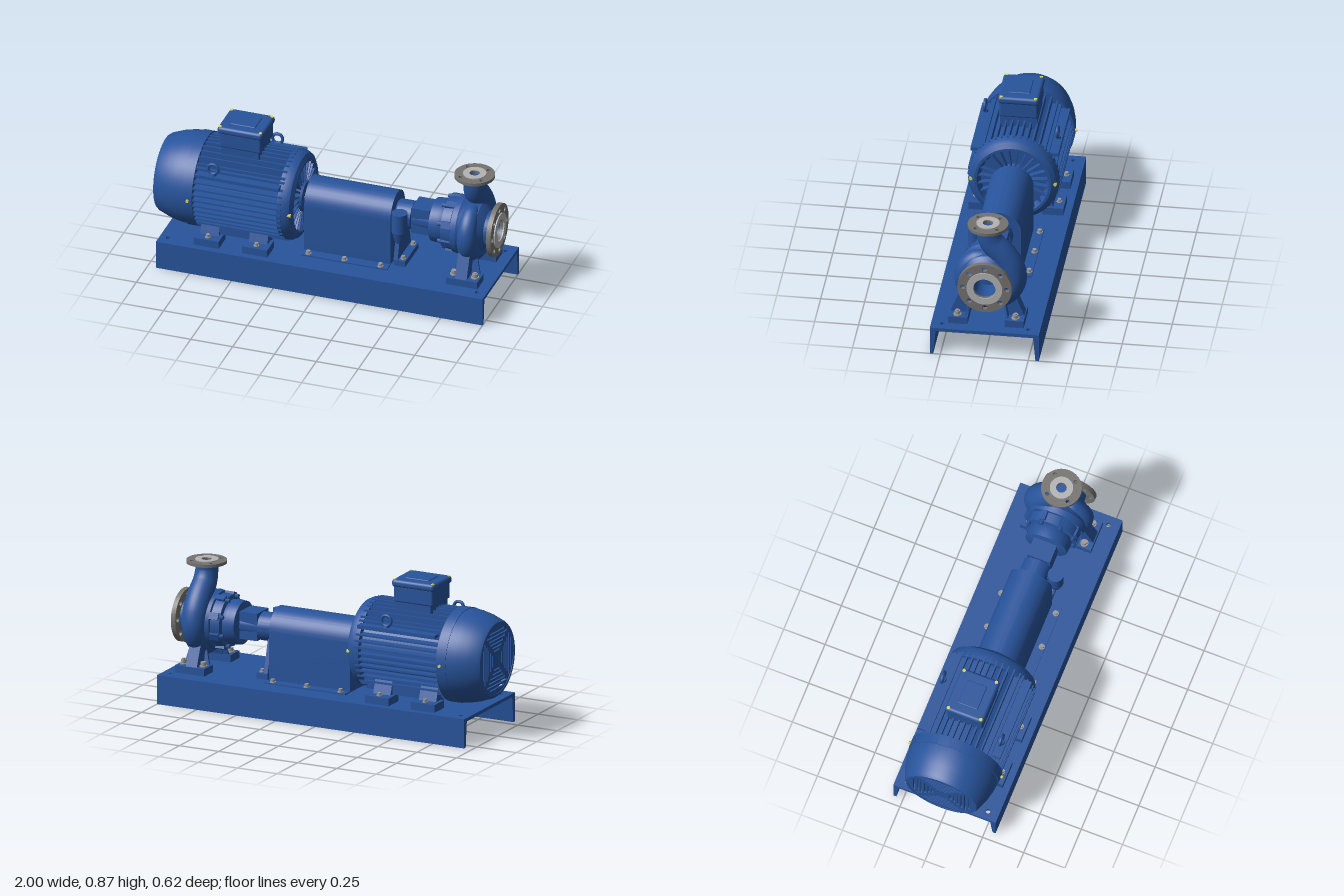
import * as THREE from 'three';
import { toCreasedNormals } from 'three/addons/utils/BufferGeometryUtils.js';
import { RoundedBoxGeometry } from 'three/addons/geometries/RoundedBoxGeometry.js';

const paint = (color) => new THREE.MeshStandardMaterial({ color });
const blue = paint(0x28549c), steel = paint(0x9a9a9a), iron = paint(0x747370), face = paint(0xb4b4b4), yellow = paint(0xe0d850);
const AXIS = 0.45; // height of the shaft line

function add(parent, name, geo, mat = blue, x = 0, y = 0, z = 0) {
  const m = new THREE.Mesh(geo, mat);
  m.name = name;
  m.position.set(x, y, z);
  parent.add(m);
  return m;
}
function group(parent, name) {
  const g = new THREE.Group();
  g.name = name;
  parent.add(g);
  return g;
}
// Box given by its limits
function box(parent, name, [x0, x1], [y0, y1], [z0, z1]) {
  return add(parent, name, new THREE.BoxGeometry(x1 - x0, y1 - y0, z1 - z0), blue, (x0 + x1) / 2, (y0 + y1) / 2, (z0 + z1) / 2);
}
// Turned part about the shaft line, profile as [x, radius]
function turn(parent, name, pts, mat = blue, seg = 64) {
  const g = new THREE.LatheGeometry(pts.map(([x, r]) => new THREE.Vector2(r, x)), seg).rotateZ(-Math.PI / 2);
  return add(parent, name, toCreasedNormals(g, 0.5), mat, 0, AXIS, 0);
}
const poly = (pts) => new THREE.Shape(pts.map(([a, b]) => new THREE.Vector2(a, b)));
const extrude = (shape, depth) => toCreasedNormals(new THREE.ExtrudeGeometry(shape, { depth, bevelEnabled: false, curveSegments: 24 }), 0.5);
// Cross-section in the (-z, y) plane pushed along +x
const alongX = (shape, depth) => extrude(shape, depth).rotateY(Math.PI / 2);
const disc = (r) => new THREE.Shape().absarc(0, 0, r, 0, Math.PI * 2);
function hole(shape, x, y, r) {
  shape.holes.push(new THREE.Path().absarc(x, y, r, 0, Math.PI * 2, true));
}
function flangeShape(r, bore, n = 0, pitch = 0, holeR = 0, start = 0) {
  const s = disc(r);
  hole(s, 0, 0, bore);
  for (let i = 0; i < n; i++) {
    const a = start + (i / n) * Math.PI * 2;
    hole(s, Math.cos(a) * pitch, Math.sin(a) * pitch, holeR);
  }
  return s;
}
// Upright hex bolt with washer, standing on height y
function bolt(parent, x, y, z, r = 0.013) {
  const g = group(parent, 'bolt');
  add(g, 'washer', new THREE.CylinderGeometry(r * 1.35, r * 1.35, r * 0.4, 20), steel, 0, r * 0.2, 0);
  add(g, 'head', new THREE.CylinderGeometry(r, r, r * 1.2, 6), steel, 0, r, 0);
  g.position.set(x, y, z);
}

function buildBase(root) {
  const g = group(root, 'baseFrame');
  const top = poly([[-0.95, -0.31], [1, -0.31], [1, 0.31], [-0.95, 0.31]]);
  for (const x of [-0.9, 0.945]) for (const z of [-0.245, 0.245]) hole(top, x, z, 0.013);
  add(g, 'topPlate', extrude(top, 0.02).rotateX(-Math.PI / 2), blue, 0, 0.15, 0);
  for (const s of [-1, 1]) {
    const rail = poly([[s * 0.31, 0], [s * 0.291, 0], [s * 0.277, 0.15], [s * 0.31, 0.15]]);
    add(g, 'sideRail', alongX(rail, 1.95), blue, -0.95, 0, 0);
  }
}

function buildMotor(root) {
  const g = group(root, 'motor');
  turn(g, 'stator', [[-0.8, 0], [-0.8, 0.222], [-0.22, 0.222], [-0.22, 0]]);
  // Cooling fins, parallel within each of the four sides
  for (let k = 0; k < 4; k++) {
    const side = group(g, 'finBank');
    side.position.y = AXIS;
    side.rotation.x = k * Math.PI / 2;
    for (let i = -5; i <= 5; i++) {
      const off = i * 0.035, outer = Math.sqrt(0.265 ** 2 - off ** 2);
      box(side, 'fin', [-0.76, -0.225], [0.12, outer], [off - 0.005, off + 0.005]);
    }
  }
  // Fan cowl with slotted end
  turn(g, 'fanCowl', [[-0.985, 0.2], [-1, 0.2], [-1, 0.215], [-0.985, 0.226], [-0.92, 0.25], [-0.86, 0.264],
    [-0.81, 0.268], [-0.81, 0.272], [-0.75, 0.272], [-0.75, 0.22]], blue, 80);
  const grille = disc(0.202);
  for (let k = 0; k < 4; k++) {
    const c = Math.cos(k * Math.PI / 2), s = Math.sin(k * Math.PI / 2);
    for (let i = 0; i < 6; i++) {
      const d = 0.05 + i * 0.022, e = d + 0.011;
      const h = Math.min(d - 0.017, Math.sqrt(0.192 ** 2 - e ** 2));
      const pts = [[d, -h], [d, h], [e, h], [e, -h]];
      grille.holes.push(new THREE.Path(pts.map(([a, b]) => new THREE.Vector2(a * c - b * s, a * s + b * c))));
    }
  }
  add(g, 'fanGrille', alongX(grille, 0.012), blue, -0.997, AXIS, 0);
  turn(g, 'fanBackPlate', [[-0.95, 0], [-0.95, 0.225], [-0.94, 0.225], [-0.94, 0]]);
  // Drive-end shield with ribs in its recess
  turn(g, 'endShield', [[-0.25, 0.21], [-0.25, 0.26], [-0.205, 0.258], [-0.18, 0.245], [-0.165, 0.22], [-0.165, 0.205],
    [-0.205, 0.185], [-0.205, 0.1], [-0.16, 0.085], [-0.16, 0]]);
  for (let i = 0; i < 24; i++) {
    const rib = add(g, 'shieldRib', new THREE.BoxGeometry(0.035, 0.12, 0.008).translate(-0.19, 0.145, 0), blue, 0, AXIS, 0);
    rib.rotation.x = (i + 0.5) / 24 * Math.PI * 2;
  }
  for (const s of [-1, 1]) {
    add(g, 'shieldPlug', new THREE.CylinderGeometry(0.011, 0.011, 0.02, 6).rotateZ(Math.PI / 2), yellow, -0.18, AXIS, s * 0.24);
    add(g, 'cowlPlug', new THREE.CylinderGeometry(0.009, 0.009, 0.02, 6).rotateX(Math.PI / 2), yellow, -0.775, AXIS, s * 0.275);
    box(g, 'sidePad', [-0.73, -0.24], [0.595, 0.615], [s * 0.225 - 0.025, s * 0.225 + 0.025]);
    // Lifting eye, one on each side at opposite ends
    const ex = s > 0 ? -0.64 : -0.41;
    add(g, 'liftingEye', new THREE.TorusGeometry(0.03, 0.009, 12, 32), blue, ex, 0.655, s * 0.222);
    add(g, 'eyeCollar', new THREE.CylinderGeometry(0.016, 0.02, 0.015, 20), blue, ex, 0.62, s * 0.222);
    // Feet with sloping webs
    for (const x of [-0.74, -0.45]) {
      box(g, 'footPad', [x, x + 0.15], [0.17, 0.215], [s * 0.21 - 0.06, s * 0.21 + 0.06]);
      const web = poly([[s * 0.12, 0.2], [s * 0.215, 0.2], [s * 0.18, 0.3], [s * 0.12, 0.32]]);
      add(g, 'footWeb', alongX(web, 0.11), blue, x + 0.02, 0, 0);
      bolt(g, x + 0.075, 0.215, s * 0.238, 0.012);
    }
    box(g, 'footRail', [-0.72, -0.32], [0.215, 0.28], [s * 0.165 - 0.02, s * 0.165 + 0.02]);
  }
  // Terminal box
  const t = group(g, 'terminalBox');
  box(t, 'neck', [-0.63, -0.41], [0.66, 0.75], [-0.105, 0.105]);
  add(t, 'body', new RoundedBoxGeometry(0.25, 0.1, 0.22, 3, 0.012), blue, -0.52, 0.785, 0);
  add(t, 'lid', new RoundedBoxGeometry(0.27, 0.045, 0.235, 3, 0.018), blue, -0.52, 0.845, 0);
  add(t, 'lidPanel', new RoundedBoxGeometry(0.15, 0.02, 0.12, 2, 0.005), blue, -0.52, 0.863, 0);
  for (const x of [-0.64, -0.4]) for (const z of [-0.098, 0.098])
    add(t, 'lidScrew', new THREE.CylinderGeometry(0.01, 0.01, 0.012, 12), yellow, x, 0.862, z);
  turn(g, 'shaft', [[-0.2, 0], [-0.2, 0.032], [0.42, 0.032], [0.42, 0]], steel, 32);
}

function buildGuard(root) {
  const g = group(root, 'couplingGuard');
  const s = poly([[-0.185, 0.17], [-0.119, 0.17], [-0.119, 0.455]]);
  s.absarc(0, 0.455, 0.119, Math.PI, 0, true);
  s.lineTo(0.119, 0.17).lineTo(0.185, 0.17).lineTo(0.185, 0.178).lineTo(0.125, 0.178).lineTo(0.125, 0.455);
  s.absarc(0, 0.455, 0.125, 0, Math.PI, false);
  s.lineTo(-0.125, 0.178).lineTo(-0.185, 0.178);
  add(g, 'cover', alongX(s, 0.515), blue, -0.13, 0, 0);
  const end = poly([[-0.12, 0.17], [0.12, 0.17], [0.12, 0.455]]);
  end.absarc(0, 0.455, 0.12, 0, Math.PI, false);
  hole(end, 0, AXIS, 0.045);
  for (const x of [-0.128, 0.377]) add(g, 'endPlate', alongX(end, 0.006), blue, x, 0, 0);
  for (const x of [-0.09, 0.125, 0.34]) for (const z of [-0.165, 0.165]) {
    bolt(g, x, 0.178, z);
    add(g, 'boltShank', new THREE.CylinderGeometry(0.009, 0.009, 0.05, 16), steel, x, 0.15, z);
  }
}

// Spiral volute sweeping into the upright discharge neck
function voluteGeometry() {
  const pts = [], rad = [];
  for (let a = 100; a <= 360; a += 20) {
    const t = (a - 100) / 260, R = 0.125 + 0.02 * t, q = a * Math.PI / 180;
    pts.push(new THREE.Vector3(0, AXIS + R * Math.sin(q), -R * Math.cos(q)));
    rad.push(0.04 + 0.036 * Math.sqrt(t));
  }
  for (const [u, v, r] of [[0.13, 0.525, 0.076], [0.08, 0.605, 0.073], [0.022, 0.67, 0.069], [0, 0.73, 0.065], [0, 0.785, 0.065]]) {
    pts.push(new THREE.Vector3(0, v, -u));
    rad.push(r);
  }
  const curve = new THREE.CatmullRomCurve3(pts), N = 90, M = 28, pos = [], idx = [], B = new THREE.Vector3(1, 0, 0);
  for (let i = 0; i <= N; i++) {
    const t = i / N, C = curve.getPoint(t), n = curve.getTangent(t).cross(B);
    const f = t * (rad.length - 1), k = Math.min(Math.floor(f), rad.length - 2), r = rad[k] + (rad[k + 1] - rad[k]) * (f - k);
    for (let j = 0; j < M; j++) {
      const q = j / M * Math.PI * 2, p = C.clone().addScaledVector(n, r * Math.cos(q)).addScaledVector(B, r * Math.sin(q));
      pos.push(p.x, p.y, p.z);
      const a = i * M + j, b = i * M + (j + 1) % M;
      if (i < N) idx.push(a, a + M, b, b, a + M, b + M);
    }
  }
  const geo = new THREE.BufferGeometry();
  geo.setAttribute('position', new THREE.Float32BufferAttribute(pos, 3));
  geo.setIndex(idx);
  geo.computeVertexNormals();
  return geo;
}

function buildPump(root) {
  const g = group(root, 'pump');
  // Bearing housing, lantern and casing cover
  turn(g, 'bearingHousing', [[0.39, 0], [0.39, 0.075], [0.4, 0.082], [0.485, 0.082], [0.49, 0.072], [0.6, 0.076],
    [0.61, 0.125], [0.66, 0.13], [0.685, 0.125], [0.69, 0.15], [0.745, 0.155], [0.75, 0.12], [0.77, 0.12]]);
  box(g, 'housingBlock', [0.49, 0.6], [0.375, 0.535], [-0.07, 0.07]);
  add(g, 'oilCup', new THREE.CylinderGeometry(0.045, 0.045, 0.12, 32), blue, 0.44, 0.465, 0.125);
  add(g, 'oilCupBase', new THREE.CylinderGeometry(0.045, 0.025, 0.07, 32), blue, 0.44, 0.37, 0.125);
  box(g, 'oilCupArm', [0.42, 0.46], [0.43, 0.47], [0.06, 0.11]);
  add(g, 'supportLeg', alongX(poly([[-0.115, 0.2], [0.115, 0.2], [0.055, 0.42], [-0.055, 0.42]]), 0.025), blue, 0.4, 0, 0);
  box(g, 'supportFoot', [0.4, 0.47], [0.17, 0.205], [-0.115, 0.115]);
  for (const z of [-0.085, 0.085]) bolt(g, 0.448, 0.205, z, 0.012);
  for (let i = 0; i < 8; i++) {
    const a = (i + 0.5) / 8 * Math.PI * 2, y = AXIS + Math.sin(a) * 0.145, z = Math.cos(a) * 0.145;
    const lug = box(g, 'coverLug', [0.695, 0.77], [y - 0.02, y + 0.02], [z - 0.02, z + 0.02]);
    lug.rotation.x = -a;
    add(g, 'coverNut', new THREE.CylinderGeometry(0.012, 0.012, 0.03, 6).rotateZ(Math.PI / 2), blue, 0.685, y, z);
  }
  // Casing with open suction bore
  add(g, 'volute', voluteGeometry(), blue, 0.845, 0, 0);
  turn(g, 'casing', [[0.75, 0], [0.75, 0.165], [0.785, 0.172], [0.8, 0.165], [0.89, 0.15], [0.91, 0.13], [0.93, 0.105],
    [0.975, 0.1], [0.975, 0.063], [0.85, 0.063], [0.85, 0]]);
  const suction = group(g, 'suctionFlange');
  add(suction, 'flange', alongX(flangeShape(0.155, 0.0635, 8, 0.125, 0.015), 0.028), iron, 0.965, AXIS, 0);
  add(suction, 'raisedFace', alongX(flangeShape(0.102, 0.063), 0.007), face, 0.993, AXIS, 0);
  const discharge = group(g, 'dischargeFlange');
  add(discharge, 'flange', extrude(flangeShape(0.115, 0.03, 4, 0.088, 0.012, Math.PI / 4), 0.018).rotateX(-Math.PI / 2), iron, 0.845, 0.773, 0);
  add(discharge, 'raisedFace', extrude(flangeShape(0.066, 0.03), 0.005).rotateX(-Math.PI / 2), face, 0.845, 0.791, 0);
  add(discharge, 'boreFloor', new THREE.CylinderGeometry(0.06, 0.06, 0.01, 24), blue, 0.845, 0.766, 0);
  // Casing feet
  const web = poly([[-0.215, 0.2], [-0.11, 0.2], [-0.085, 0.285], [0.085, 0.285], [0.11, 0.2], [0.215, 0.2], [0.155, 0.35], [-0.155, 0.35]]);
  add(g, 'footWeb', alongX(web, 0.07), blue, 0.8, 0, 0);
  for (const s of [-1, 1]) {
    box(g, 'footPad', [0.75, 0.935], [0.17, 0.213], [s * 0.16 - 0.055, s * 0.16 + 0.055]);
    const rib = extrude(poly([[0.765, 0], [0.92, 0], [0.9, 0.09], [0.79, 0.09]]), 0.012);
    add(g, 'footRib', rib, blue, 0, 0.21, s * 0.118 - 0.006).rotation.x = -s * 0.2;
    for (const x of [0.78, 0.905]) bolt(g, x, 0.213, s * 0.165, 0.017);
    add(g, 'footStud', new THREE.CylinderGeometry(0.009, 0.009, 0.12, 16), steel, 0.905, 0.187, s * 0.165);
  }
}

export function createModel() {
  const root = new THREE.Group();
  root.name = 'motorPumpSet';
  buildBase(root);
  buildMotor(root);
  buildGuard(root);
  buildPump(root);
  return root;
}
